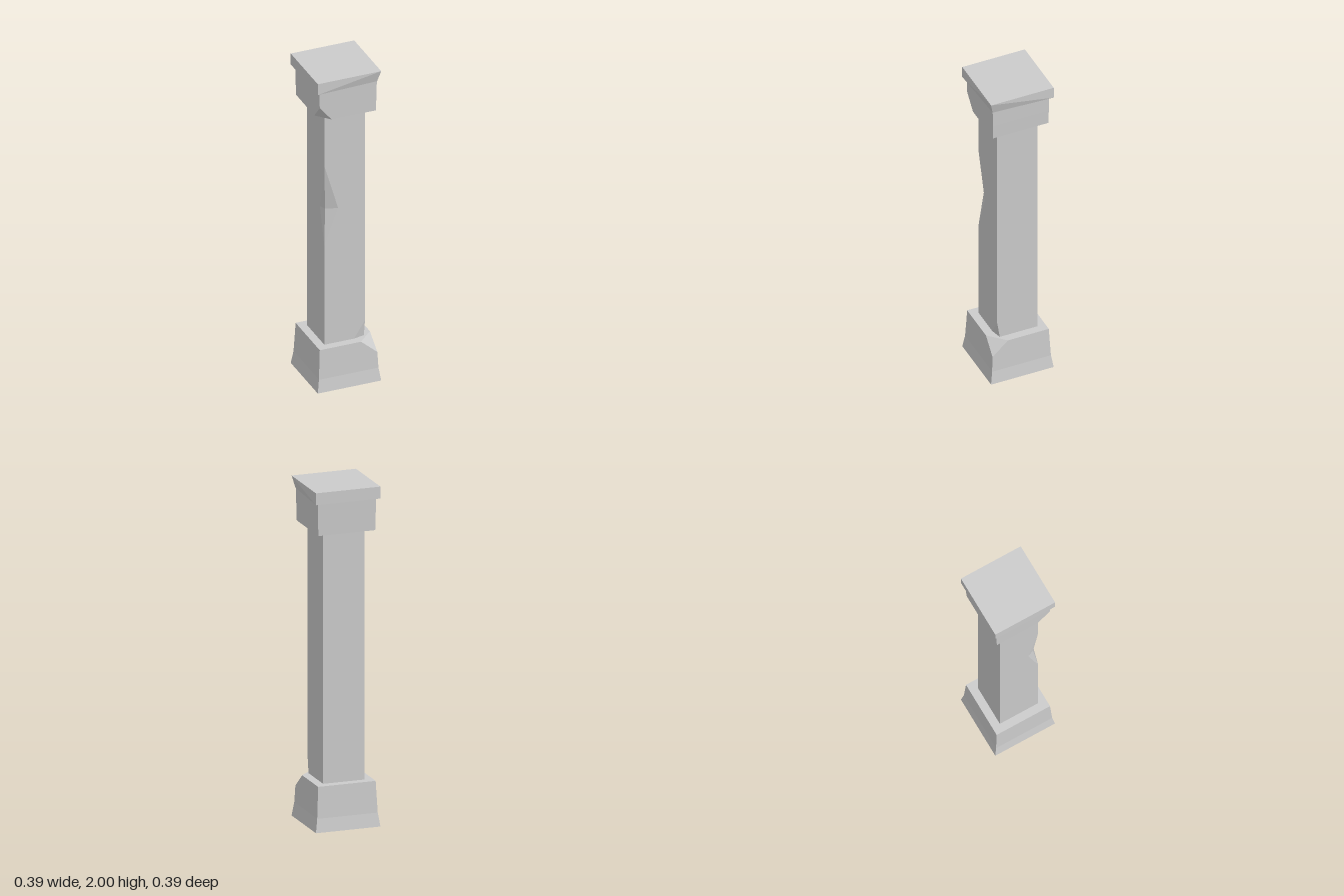
import * as THREE from 'three';
import { ConvexGeometry } from 'three/addons/geometries/ConvexGeometry.js';

const stone = new THREE.MeshStandardMaterial({ color: 0xcccccc, flatShading: true, side: THREE.DoubleSide });

// Corner order, counter-clockwise seen from above
const CORNERS = [[-1, 1], [1, 1], [1, -1], [-1, -1]];

// Square section whose corners may each be replaced by three chipped points [x, z]
function section({ y, half, chips = {} }) {
  return CORNERS.flatMap(([sx, sz], i) => {
    const corner = [sx * half, sz * half];
    return (chips[i] || [corner, corner, corner]).map(([x, z]) => new THREE.Vector3(x, y, z));
  });
}

// Flat-shaded skin through a stack of sections, with optional caps
function loft(name, rows, { top = false, bottom = false } = {}) {
  const rings = rows.map(section);
  const n = rings[0].length;
  const tris = [];
  const add = (a, b, c) => {
    const area = b.clone().sub(a).cross(c.clone().sub(a)).length();
    if (area > 1e-8) tris.push(a, b, c);
  };
  for (let i = 0; i < n; i++) {
    const k = (i + 1) % n;
    for (let j = 0; j < rings.length - 1; j++) {
      const lo = rings[j], hi = rings[j + 1];
      add(lo[i], lo[k], hi[k]);
      add(lo[i], hi[k], hi[i]);
    }
    const first = rings[0], last = rings[rings.length - 1];
    if (top) add(new THREE.Vector3(0, last[0].y, 0), last[i], last[k]);
    if (bottom) add(new THREE.Vector3(0, first[0].y, 0), first[k], first[i]);
  }
  const geometry = new THREE.BufferGeometry().setFromPoints(tris);
  geometry.computeVertexNormals();
  const mesh = new THREE.Mesh(geometry, stone);
  mesh.name = name;
  return mesh;
}

export function createModel() {
  const pillar = new THREE.Group();
  pillar.name = 'pillar';

  // Flared hollow base, front left top corner broken off
  pillar.add(loft('base', [
    { y: 0, half: 0.195 },
    { y: 0.08, half: 0.183 },
    { y: 0.18, half: 0.178 },
    { y: 0.265, half: 0.174, chips: { 1: [[0.08, 0.174], [0.127, 0.127], [0.174, 0.08]] } },
  ], { top: true }));

  // Square shaft, nicked at the foot and gouged along the front right edge
  pillar.add(loft('shaft', [
    { y: 0.262, half: 0.125, chips: { 1: [[0.055, 0.125], [0.09, 0.117], [0.125, 0.108]] } },
    { y: 0.37, half: 0.125 },
    { y: 0.9, half: 0.125 },
    { y: 1.13, half: 0.125, chips: { 0: [[-0.125, 0.06], [-0.11, 0.1], [-0.04, 0.125]] } },
    { y: 1.42, half: 0.125 },
    { y: 1.745, half: 0.125 },
  ]));

  // Capital block, front right bottom corner broken off
  pillar.add(loft('capital', [
    { y: 1.74, half: 0.172, chips: { 0: [[-0.172, 0.09], [-0.136, 0.131], [-0.1, 0.172]] } },
    { y: 1.83, half: 0.174 },
    { y: 1.93, half: 0.176 },
  ], { bottom: true }));

  // Top slab, front left bottom corner worn inward
  const slabPoints = CORNERS.flatMap(([sx, sz], i) => {
    const low = i === 1 ? 0.177 : 0.195;
    return [new THREE.Vector3(sx * low, 1.93, sz * low), new THREE.Vector3(sx * 0.195, 2, sz * 0.195)];
  });
  const slab = new THREE.Mesh(new ConvexGeometry(slabPoints), stone);
  slab.name = 'topSlab';
  pillar.add(slab);

  return pillar;
}
